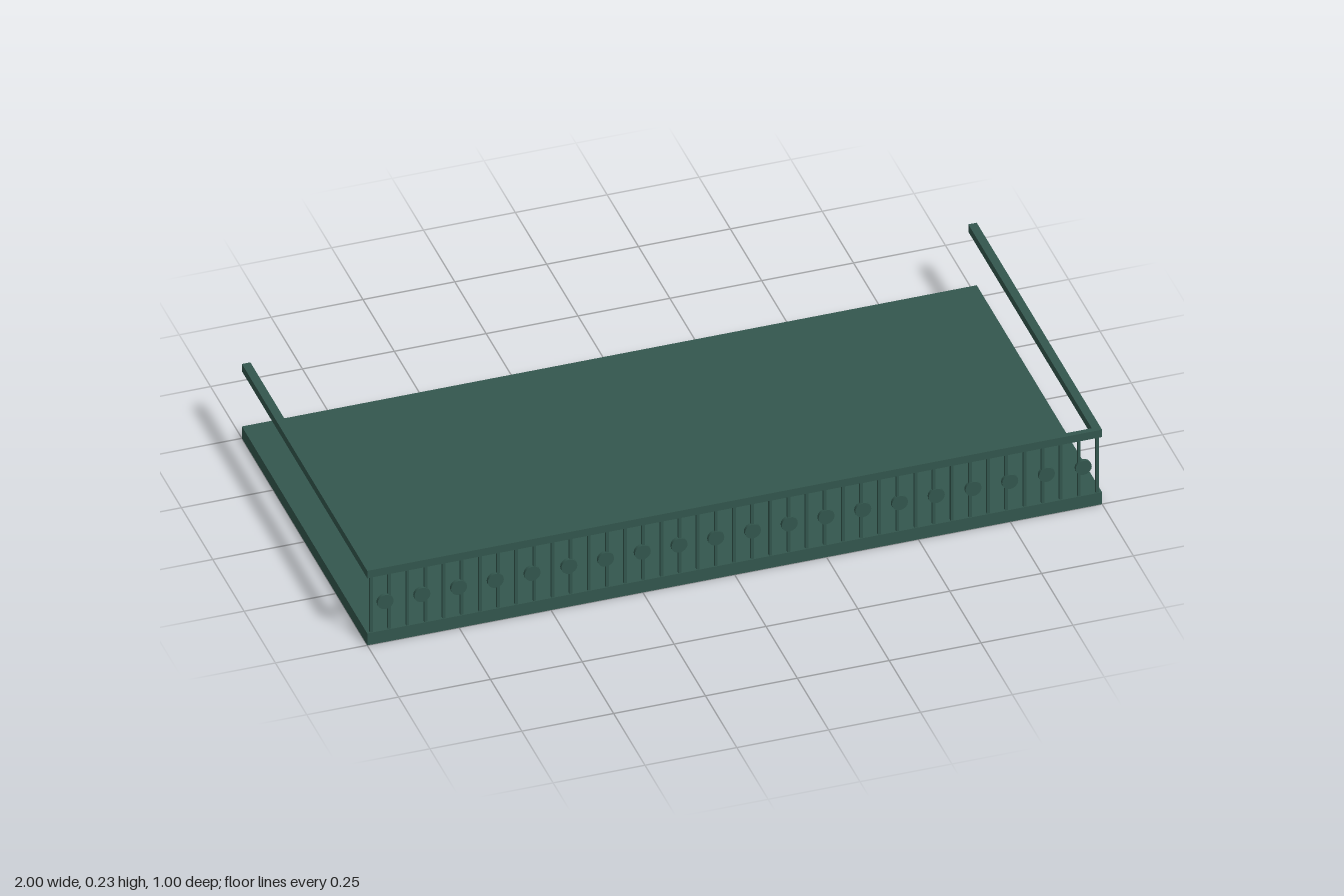
import * as THREE from 'three';

export function createModel() {
  const group = new THREE.Group();
  const green = new THREE.MeshStandardMaterial({ color: 0x33574e });
  green.name = 'dark green paint';

  const add = (name, geometry, x, y, z) => {
    const mesh = new THREE.Mesh(geometry, green);
    mesh.name = name;
    mesh.position.set(x, y, z);
    group.add(mesh);
    return mesh;
  };

  // Floor slab
  const floorTop = 0.037;
  add('floorSlab', new THREE.BoxGeometry(2, floorTop, 1), 0, floorTop / 2, 0);

  // Handrails: front and both sides
  const railBottom = 0.209, railHeight = 0.023, railWidth = 0.023;
  const railY = railBottom + railHeight / 2;
  add('frontRail', new THREE.BoxGeometry(2 - 2 * railWidth, railHeight, 0.015), 0, railY, 0.4925);
  for (const side of [-1, 1]) {
    add(side > 0 ? 'leftRail' : 'rightRail', new THREE.BoxGeometry(railWidth, railHeight, 1),
      side * (1 - railWidth / 2), railY, 0);
  }

  // Evenly spaced balusters between the floor and the front rail
  const barHeight = railBottom - floorTop;
  const bar = new THREE.BoxGeometry(0.008, barHeight, 0.008);
  for (let i = 0; i <= 40; i++) {
    add('baluster', bar, -0.988 + i * 0.0494, floorTop + barHeight / 2, 0.494);
  }

  // Round ornaments along the balustrade
  const disc = new THREE.CylinderGeometry(0.022, 0.022, 0.009, 16).rotateX(Math.PI / 2);
  for (let i = 0; i < 20; i++) {
    add('ornamentDisc', disc, -0.95 + i * 0.1, 0.124, 0.4955);
  }

  return group;
}
